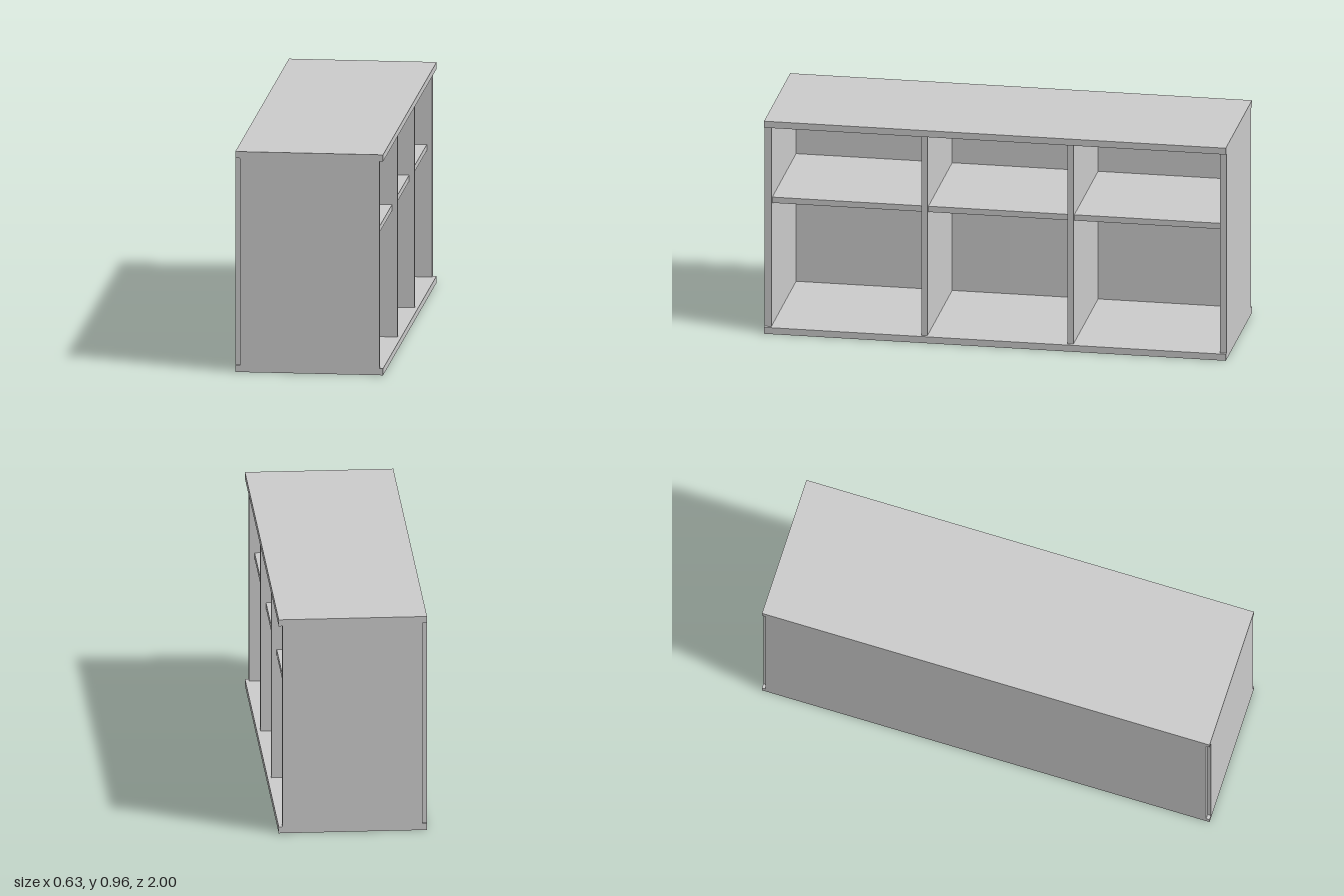
import * as THREE from 'three';

const material = new THREE.MeshStandardMaterial({ color: 0xcccccc });

export function createModel() {
  const unit = new THREE.Group();
  unit.name = 'shelfUnit';

  // Board given by its [min, max] extent on each axis
  const board = (name, x, y, z) => {
    const mesh = new THREE.Mesh(
      new THREE.BoxGeometry(x[1] - x[0], y[1] - y[0], z[1] - z[0]), material);
    mesh.position.set((x[0] + x[1]) / 2, (y[0] + y[1]) / 2, (z[0] + z[1]) / 2);
    mesh.name = name;
    unit.add(mesh);
  };

  const halfDepth = 0.317, backFace = -0.297, wallFront = 0.301;
  const base = 0.029, under = 0.93, height = 0.959;

  // Bottom, top and the slightly narrower back panel
  board('bottomBoard', [-halfDepth, halfDepth], [0, base], [-1, 1]);
  board('topBoard', [-halfDepth, halfDepth], [under, height], [-1, 1]);
  board('backPanel', [-halfDepth, backFace], [base, under], [-0.985, 0.985]);

  // Upright walls: two sides and two dividers
  const walls = [
    ['rightEndPanel', -1, -0.971],
    ['rearDivider', -0.337, -0.311],
    ['frontDivider', 0.295, 0.321],
    ['leftEndPanel', 0.971, 1],
  ];
  for (const [name, z0, z1] of walls) board(name, [backFace, wallFront], [base, under], [z0, z1]);

  // One set-back shelf and one small round knob on the back panel per bay
  const knobZ = [-0.665, -0.01, 0.697];
  const knobGeometry = new THREE.SphereGeometry(0.018, 24, 16);
  for (let i = 0; i < 3; i++) {
    board(`shelf${i + 1}`, [backFace, 0.278], [0.579, 0.605], [walls[i][2], walls[i + 1][1]]);
    const knob = new THREE.Mesh(knobGeometry, material);
    knob.name = `knob${i + 1}`;
    knob.position.set(backFace + 0.01, 0.515, knobZ[i]);
    unit.add(knob);
  }
  return unit;
}
